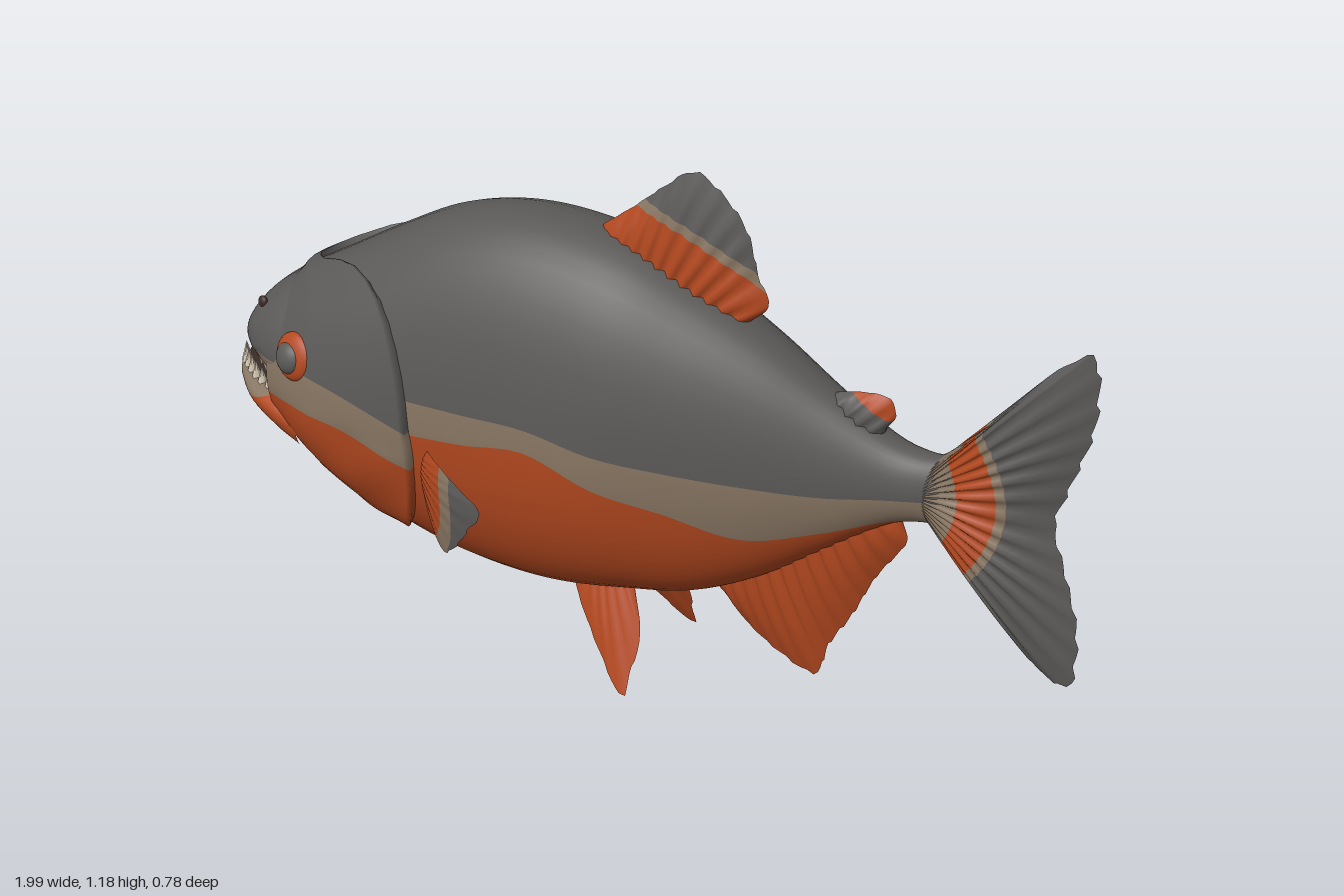
import * as THREE from 'three';

const paint = (name, color) => Object.assign(new THREE.MeshStandardMaterial({ color }), { name });
const gray = paint('slate gray', 0x5b5957);
const tan = paint('flank tan', 0x877562);
const orange = paint('belly orange', 0xb2481f);
const ivory = paint('tooth ivory', 0xd6cab4);
const dark = paint('mouth dark', 0x3c2a26);

// Cross-section tables: x, top, bottom, height of widest point, half width, gray/tan line, tan/orange line
const BODY = [
  [-0.84, 0.765, 0.405, 0.57, 0.180, 0.62, 0.54], [-0.74, 0.825, 0.345, 0.56, 0.215, 0.63, 0.55],
  [-0.60, 0.91, 0.262, 0.56, 0.234, 0.64, 0.55], [-0.45, 0.99, 0.203, 0.57, 0.236, 0.64, 0.56],
  [-0.30, 1.03, 0.18, 0.58, 0.238, 0.645, 0.575], [-0.15, 1.035, 0.183, 0.58, 0.236, 0.648, 0.595],
  [0.00, 1.01, 0.21, 0.59, 0.222, 0.62, 0.54], [0.15, 0.945, 0.243, 0.60, 0.185, 0.605, 0.505],
  [0.30, 0.87, 0.32, 0.60, 0.142, 0.595, 0.462], [0.45, 0.78, 0.43, 0.61, 0.095, 0.59, 0.495],
  [0.58, 0.712, 0.525, 0.62, 0.063, 0.605, 0.542], [0.66, 0.70, 0.55, 0.625, 0.049, 0.615, 0.56],
  [0.73, 0.715, 0.54, 0.625, 0.03, 0.62, 0.56],
];
const CHEEK = BODY.slice(0, 4).map((r, i) => [...r.slice(0, 5), [0.62, 0.63, 0.615, 0.575][i], [0.535, 0.545, 0.535, 0.49][i]]);
const SNOUT = [
  [-0.96, 0.625, 0.612, 0.62, 0.02, 0.615, 0.6], [-0.945, 0.665, 0.597, 0.63, 0.09, 0.612, 0.59],
  [-0.91, 0.712, 0.572, 0.63, 0.14, 0.612, 0.56], [-0.86, 0.752, 0.552, 0.62, 0.174, 0.62, 0.54],
  [-0.82, 0.78, 0.54, 0.61, 0.191, 0.62, 0.52], [-0.76, 0.81, 0.5, 0.59, 0.205, 0.62, 0.5],
];
const JAW = [
  [-1.0, 0.53, 0.508, 0.52, 0.02, 0.529, 0.515], [-0.985, 0.537, 0.485, 0.515, 0.075, 0.53, 0.505],
  [-0.95, 0.537, 0.458, 0.505, 0.118, 0.527, 0.497], [-0.9, 0.533, 0.434, 0.495, 0.158, 0.523, 0.495],
  [-0.83, 0.54, 0.396, 0.48, 0.184, 0.525, 0.515], [-0.76, 0.53, 0.36, 0.46, 0.195, 0.52, 0.515],
];
// Rear edge of the gill cover: fraction from crown to throat, x
const GILL = [[0, -0.80], [0.07, -0.75], [0.13, -0.64], [0.22, -0.52], [0.32, -0.45], [0.42, -0.43],
  [0.6, -0.43], [0.75, -0.47], [0.88, -0.55], [1, -0.64]];

// Smooth interpolation of every column of a table
function sample(table, x) {
  const n = table.length;
  let k = 0;
  while (k < n - 2 && x > table[k + 1][0]) k++;
  const a = table[k], b = table[k + 1], h = b[0] - a[0], t = (x - a[0]) / h;
  const slope = (i, c) => {
    const p = table[Math.max(i - 1, 0)], q = table[Math.min(i + 1, n - 1)];
    return (q[c] - p[c]) / (q[0] - p[0]) * h;
  };
  return a.map((v, c) => v + t * (slope(k, c) + t * (3 * (b[c] - v) - 2 * slope(k, c) - slope(k + 1, c)
    + t * (2 * (v - b[c]) + slope(k, c) + slope(k + 1, c)))));
}

// Point on a section; angle 0 is the crown, PI the belly
function skin(p, x, a, off = 0) {
  const c = Math.cos(a), s = Math.sin(Math.min(a, Math.PI));
  const y = p[3] + c * (c > 0 ? p[1] - p[3] : p[3] - p[2]);
  return [x, y + off * c, p[4] * Math.pow(Math.max(s, 0), 0.87) + off * s];
}
const angleAt = (p, y) => Math.acos(THREE.MathUtils.clamp((y - p[3]) / (y > p[3] ? p[1] - p[3] : p[3] - p[2]), -1, 1));

function build(name, positions, bands, mats) {
  const g = new THREE.BufferGeometry();
  g.setAttribute('position', new THREE.Float32BufferAttribute(positions, 3));
  g.setIndex(bands.flat());
  let start = 0;
  bands.forEach((b, m) => { g.addGroup(start, b.length, m); start += b.length; });
  g.computeVertexNormals();
  const mesh = new THREE.Mesh(g, mats);
  mesh.name = name;
  return mesh;
}

// Loft with three colour bands that follow the lines of the table
function loft(name, table, mats, steps, xAt, offAt = () => 0) {
  const rows = [0, 11, 16, 28], N = 28, pos = [], bands = [[], [], []];
  const bandOf = r => (r < rows[1] ? 0 : r < rows[2] ? 1 : 2);
  for (let i = 0; i <= steps; i++) for (let j = 0; j < 2 * N; j++) {
    const r = j <= N ? j : 2 * N - j, u = i / steps, x = xAt(u, r / N), p = sample(table, x);
    const a1 = angleAt(p, p[5]), lines = [0, a1, Math.max(a1, angleAt(p, p[6])), Math.PI];
    const k = Math.min(bandOf(r), 2), f = (r - rows[k]) / (rows[k + 1] - rows[k]);
    const v = skin(p, x, lines[k] + (lines[k + 1] - lines[k]) * f, offAt(u, r / N));
    pos.push(v[0], v[1], j <= N ? v[2] : -v[2]);
  }
  for (let i = 0; i < steps; i++) for (let j = 0; j < 2 * N; j++) {
    const a = i * 2 * N + j, b = i * 2 * N + (j + 1) % (2 * N), c = a + 2 * N, d = b + 2 * N;
    bands[bandOf(j < N ? j : 2 * N - 1 - j)].push(a, b, c, b, d, c);
  }
  return build(name, pos, bands, mats);
}

// Lens-shaped fin between a root curve and a ragged rim; breaks are distances from the root
function fin(name, root, rim, { thick, rays = 10, breaks = [], front = [orange], back = front, bend = () => 0 }) {
  const curve = (pts, n) => new THREE.SplineCurve(pts.map(p => new THREE.Vector2(...p))).getSpacedPoints(n);
  const S = rays * 4, A = curve(root, S), B = curve(rim, S), n = 5, R = (breaks.length + 1) * n;
  const pos = [], bands = [...front, ...back].map(() => []), h = S >> 1;
  const d = B[h].clone().sub(A[h]), e = B[h + 1].clone().sub(B[h - 1]);
  const flip = e.cross(d) < 0;
  for (const side of [1, -1]) for (let i = 0; i <= S; i++) for (let j = 0; j <= R; j++) {
    const s = i / S, L = A[i].distanceTo(B[i]), k = Math.min(Math.floor(j / n), breaks.length);
    const t0 = k ? Math.min(breaks[k - 1] / L, 1) : 0, t1 = k < breaks.length ? Math.min(breaks[k] / L, 1) : 1;
    const t = t0 + (t1 - t0) * (j - k * n) / n;
    const q = A[i].clone().lerp(B[i], t * (1 - 0.035 * t * ((i % 4) / 4)));
    const w = thick * (1 - t * t) * Math.pow(Math.max(Math.sin(Math.PI * s), 0), 0.4) * (1 + 0.14 * Math.cos(2 * Math.PI * s * rays));
    pos.push(q.x, q.y, bend(q.x, q.y) + side * w);
  }
  for (const side of [0, 1]) for (let i = 0; i < S; i++) for (let j = 0; j < R; j++) {
    const a = side * (S + 1) * (R + 1) + i * (R + 1) + j, b = a + R + 1, c = a + 1, f = b + 1;
    const band = bands[side * front.length + Math.floor(j / n)];
    if (flip === (side === 1)) band.push(a, b, c, b, f, c);
    else band.push(a, c, b, b, c, f);
  }
  return build(name, pos, bands, [...front, ...back]);
}

// Copy of a mesh on the other flank
function mirror(mesh) {
  const g = mesh.geometry.clone().applyMatrix4(mesh.matrix).scale(1, 1, -1), ix = g.index.array;
  for (let i = 0; i < ix.length; i += 3) [ix[i], ix[i + 1]] = [ix[i + 1], ix[i]];
  const copy = new THREE.Mesh(g, mesh.material);
  copy.name = mesh.name.replace('left', 'right');
  return copy;
}

export function createModel() {
  const fish = new THREE.Group();
  fish.name = 'fish';
  const along = t => u => t[0][0] + (t[t.length - 1][0] - t[0][0]) * u;
  const pair = m => { m.updateMatrix(); fish.add(m, mirror(m)); };

  // Trunk, head and jaws
  fish.add(loft('body', BODY, [gray, tan, orange], 64, u => -0.8 + 1.53 * u));
  fish.add(loft('headAndGillCover', CHEEK, [gray, tan, orange], 30,
    (u, q) => -0.835 + (sample(GILL, q)[1] + 0.835) * Math.min(u * 1.035, 1),
    (u, q) => (u === 1 ? -0.012 : 0.003 + 0.014 * Math.min(u / 0.35, 1)
      + (q > 0.5 ? 0.004 * Math.sin(u * 14 + q * 5) * Math.sin(q * 24) * u : 0))));
  fish.add(loft('snout', SNOUT, [gray, tan, tan], 24, along(SNOUT)));
  fish.add(loft('lowerJaw', JAW, [dark, tan, orange], 24, along(JAW)));

  // Fins on the midline
  fish.add(fin('dorsalFin', [[-0.1, 1.0], [0.05, 0.97], [0.24, 0.88]],
    [[-0.09, 1.035], [-0.02, 1.09], [0.05, 1.15], [0.12, 1.198], [0.19, 1.155], [0.24, 1.09], [0.265, 1.0], [0.29, 0.94], [0.24, 0.89]],
    { thick: 0.04, rays: 12, breaks: [0.11, 0.13], front: [orange, tan, gray] }));
  fish.add(fin('adiposeFin', [[0.42, 0.775], [0.55, 0.71]], [[0.45, 0.788], [0.51, 0.803], [0.56, 0.802], [0.575, 0.765], [0.555, 0.735]],
    { thick: 0.03, rays: 5, breaks: [0.05], front: [gray, orange] }));
  fish.add(fin('analFin', [[0.17, 0.27], [0.4, 0.43], [0.59, 0.55]],
    [[0.2, 0.24], [0.25, 0.18], [0.33, 0.125], [0.42, 0.095], [0.45, 0.18], [0.5, 0.27], [0.55, 0.38], [0.612, 0.48], [0.6, 0.52]],
    { thick: 0.042, rays: 14 }));
  fish.add(fin('tailFin', [[0.66, 0.69], [0.66, 0.56]],
    [[0.73, 0.735], [0.8, 0.81], [0.87, 0.92], [0.93, 0.98], [0.98, 1.0], [0.99, 0.86], [0.95, 0.71], [0.925, 0.615],
      [0.955, 0.51], [0.99, 0.38], [0.985, 0.25], [0.93, 0.26], [0.87, 0.31], [0.8, 0.41], [0.73, 0.52]],
    { thick: 0.045, rays: 22, breaks: [0.07, 0.15, 0.17], front: [tan, orange, tan, gray] }));

  // Paired fins
  const sweep = x => { const t = (x + 0.4) / 0.24; return 0.225 + 0.165 * t * (1.4 - 0.4 * t); };
  pair(fin('leftPectoralFin', [[-0.41, 0.52], [-0.41, 0.42]],
    [[-0.38, 0.54], [-0.28, 0.55], [-0.16, 0.535], [-0.2, 0.47], [-0.25, 0.4], [-0.31, 0.345], [-0.37, 0.36], [-0.4, 0.4]],
    { thick: 0.014, rays: 9, breaks: [0.1, 0.145], front: [orange, tan, gray], back: [orange, orange, orange], bend: sweep }));
  pair(fin('leftPelvicFin', [[-0.12, 0.27], [0.0, 0.27]],
    [[-0.135, 0.23], [-0.1, 0.17], [-0.03, 0.08], [0.04, 0.005], [0.05, 0.06], [0.056, 0.14], [0.02, 0.23]],
    { thick: 0.016, rays: 7, bend: (x, y) => 0.165 - (y - 0.01) * 0.43 }));

  // Eyes and nostrils
  const ball = (name, mat, x, y, r, sink, flat) => {
    const p = sample(CHEEK.concat([]), x), q = x < -0.84 ? sample(SNOUT, x) : p;
    const m = new THREE.Mesh(new THREE.SphereGeometry(r, 24, 16), mat), v = skin(q, x, angleAt(q, y), 0.01);
    m.name = name;
    m.position.set(v[0], v[1], v[2] - sink);
    m.scale.z = flat;
    m.rotation.set(-0.25, -0.25, 0);
    pair(m);
  };
  ball('leftEyeRing', orange, -0.737, 0.655, 0.054, 0.004, 0.4);
  ball('leftEye', gray, -0.745, 0.653, 0.037, -0.004, 0.65);
  ball('leftNostril', dark, -0.885, 0.705, 0.013, 0.008, 0.6);

  // Pointed teeth along both jaws
  const teeth = (name, table, x0, x1, angle, up) => {
    for (let i = 0; i < 7; i++) {
      const x = x0 + (x1 - x0) * Math.pow(i / 6, 1.4), v = skin(sample(table, x), x, angle);
      const m = new THREE.Mesh(new THREE.ConeGeometry(0.014, 0.05, 6), ivory);
      m.name = name;
      m.position.set(v[0] + 0.004, v[1] + up * 0.014, v[2] * 0.97);
      m.rotation.x = up > 0 ? 0 : Math.PI;
      pair(m);
    }
  };
  teeth('left lower tooth', JAW, -0.985, -0.87, 0.9, 1);
  teeth('left upper tooth', SNOUT, -0.95, -0.86, 2.2, -1);
  return fish;
}
